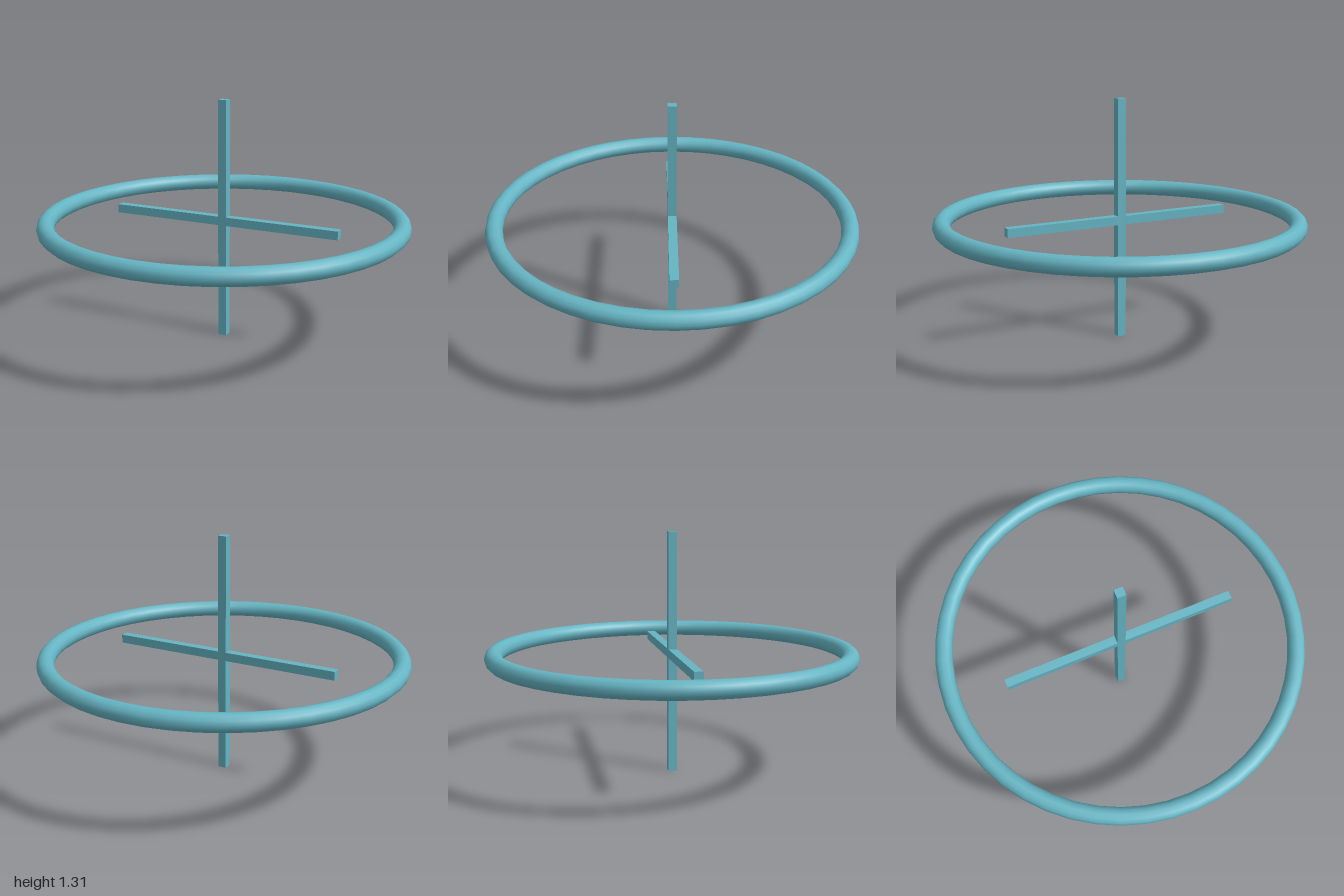
import * as THREE from 'three';

const CENTRE_Y = 0.656;
const BAR_LENGTH = 1.312;
const THICKNESS = 0.047;

export function createModel() {
  const model = new THREE.Group();
  const material = new THREE.MeshStandardMaterial({ color: 0x66b5c4 });

  const add = (name, geometry) => {
    const mesh = new THREE.Mesh(geometry, material);
    mesh.name = name;
    mesh.position.y = CENTRE_Y;
    model.add(mesh);
    return mesh;
  };

  // Round ring lying flat around the centre
  const ring = add('ring', new THREE.TorusGeometry(1 - THICKNESS, THICKNESS, 12, 48));
  ring.rotation.x = Math.PI / 2;

  // Two square bars crossing at the centre
  add('verticalBar', new THREE.BoxGeometry(THICKNESS, BAR_LENGTH, THICKNESS));
  add('horizontalBar', new THREE.BoxGeometry(BAR_LENGTH, THICKNESS, THICKNESS));

  return model;
}
